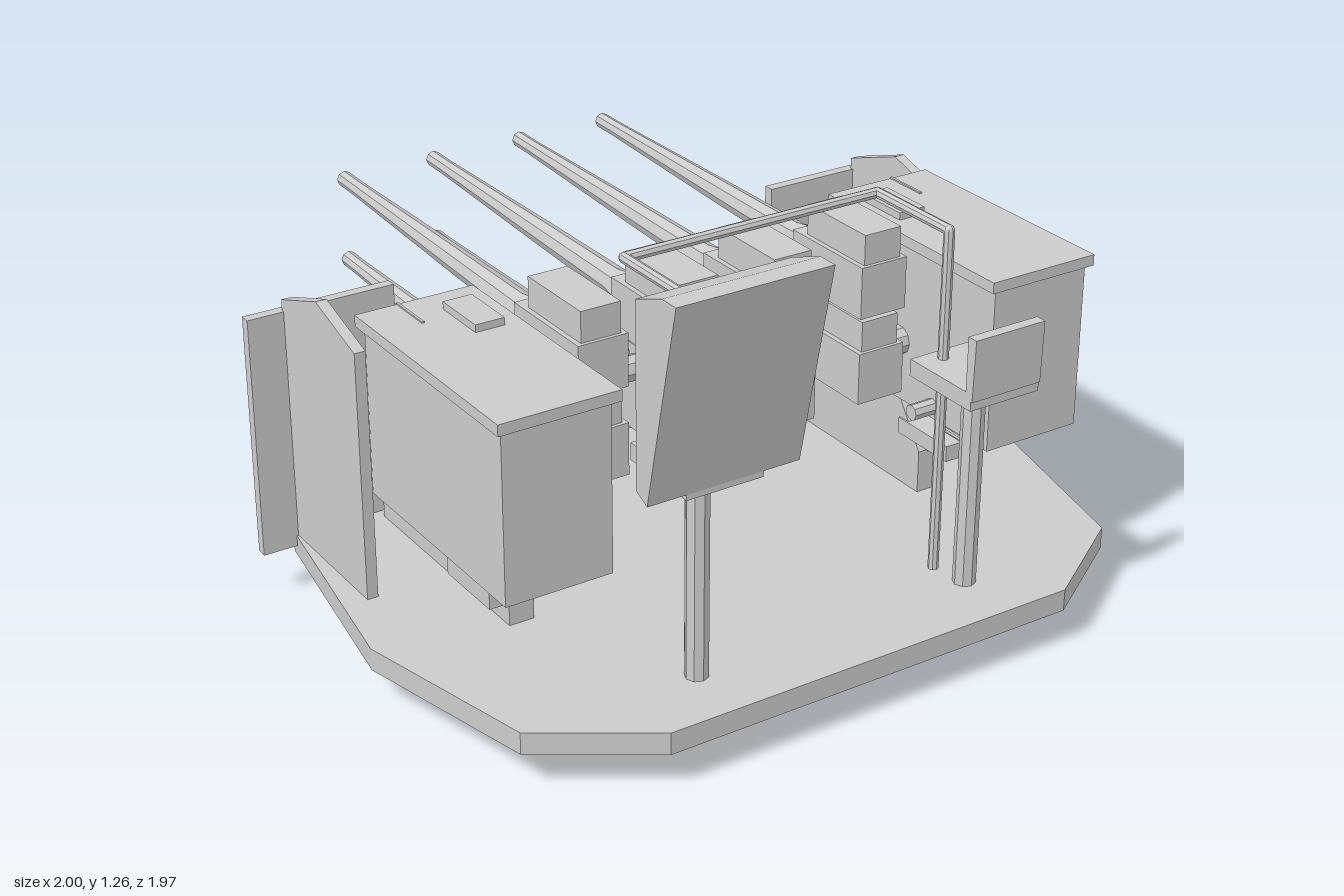
import * as THREE from 'three';

const mat = new THREE.MeshStandardMaterial({ color: 0xcccccc, flatShading: true, side: THREE.DoubleSide });

export function createModel() {
  const root = new THREE.Group();
  root.name = 'gunMount';

  const add = (name, geo, parent = root) => {
    const m = new THREE.Mesh(geo, mat);
    m.name = name;
    parent.add(m);
    return m;
  };
  // box given by its lower and upper limits on each axis
  const box = (name, [x0, x1], [y0, y1], [z0, z1], parent) => {
    const m = add(name, new THREE.BoxGeometry(x1 - x0, y1 - y0, z1 - z0), parent);
    m.position.set((x0 + x1) / 2, (y0 + y1) / 2, (z0 + z1) / 2);
    return m;
  };
  // upright slab: outline of [z, y] points, thickened from x0 to x1
  const slab = (name, pts, x0, x1, parent) => {
    const shape = new THREE.Shape(pts.map(([z, y]) => new THREE.Vector2(-z, y)));
    const geo = new THREE.ExtrudeGeometry(shape, { depth: x1 - x0, bevelEnabled: false });
    geo.rotateY(Math.PI / 2).translate(x0, 0, 0);
    return add(name, geo, parent);
  };
  // cylinder lying along x
  const barX = (name, x0, x1, y, z, r, sides, parent) => {
    const geo = new THREE.CylinderGeometry(r, r, x1 - x0, sides).rotateZ(Math.PI / 2);
    add(name, geo, parent).position.set((x0 + x1) / 2, y, z);
  };
  // bent pipe made of straight runs
  const pipe = (name, pts, r, parent) => {
    const path = new THREE.CurvePath();
    const v = pts.map(p => new THREE.Vector3(...p));
    for (let i = 1; i < v.length; i++) {
      const g = new THREE.TubeGeometry(new THREE.LineCurve3(v[i - 1], v[i]), 1, r, 8);
      add(name, g, parent);
      if (i < v.length - 1) add(name + 'Elbow', new THREE.SphereGeometry(r, 8, 6), parent).position.copy(v[i]);
    }
  };

  // deck plate
  const half = [[0.57, -0.57], [0.9, -0.4], [1, 0.23], [0.88, 0.74], [0.59, 0.93]];
  const outline = [...half, ...half.map(([x, z]) => [-x, z]).reverse()];
  const deck = new THREE.Shape(outline.map(([x, z]) => new THREE.Vector2(x, -z)));
  add('deckPlate', new THREE.ExtrudeGeometry(deck, { depth: 0.06, bevelEnabled: false })
    .rotateX(-Math.PI / 2).translate(0, 0.1, 0));

  // turning ring under the deck
  const ringPts = [[0.215, 0], [0.47, 0], [0.47, 0.1], [0.215, 0.1], [0.215, 0]];
  add('turningRing', new THREE.LatheGeometry(ringPts.map(p => new THREE.Vector2(...p)), 12))
    .position.z = 0.105;

  // eight guns in two rows of four
  const barrel = [[0, 0], [0.048, 0], [0.048, 0.06], [0.04, 0.1], [0.034, 0.45], [0.022, 0.99],
    [0.022, 1.07], [0.012, 1.07], [0.012, 1.03], [0, 1.03]].map(p => new THREE.Vector2(...p));
  for (const y of [0.51, 0.75]) {
    for (let i = 0; i < 4; i++) {
      const x = -0.417 + i * 0.278;
      const gun = new THREE.Group();
      gun.name = 'gun';
      root.add(gun);
      box('receiver', [x - 0.07, x + 0.07], [y, y + 0.142], [0.07, 0.37], gun);
      box('feedBlock', [x - 0.056, x + 0.056], [y + 0.142, y + 0.225], [0.115, 0.36], gun);
      const b = add('barrel', new THREE.LatheGeometry(barrel, 8), gun);
      b.rotation.x = -Math.PI / 2 + 0.02;
      b.position.set(x, y + 0.075, 0.085);
    }
  }

  // cradle bars that carry the guns
  barX('cradleBar', -0.58, 0.58, 0.7, 0.09, 0.045, 8);
  barX('cradleBar', -0.58, 0.58, 0.68, 0.165, 0.035, 8);
  box('frontBeam', [-0.6, 0.6], [0.26, 0.35], [-0.33, -0.25]);

  // parts repeated on both sides
  for (const s of [1, -1]) {
    const side = new THREE.Group();
    side.name = s > 0 ? 'leftSide' : 'rightSide';
    root.add(side);
    const bx = (name, x, y, z) => box(name, s > 0 ? x : [-x[1], -x[0]], y, z, side);
    const sl = (name, pts, a, b) => slab(name, pts, s > 0 ? a : -b, s > 0 ? b : -a, side);
    const bar = (name, a, b, ...rest) => barX(name, s > 0 ? a : -b, s > 0 ? b : -a, ...rest, side);

    // shields
    bx('frontShield', [0.59, 1], [0.13, 0.8], [-0.4, -0.37]);
    sl('sideShield', [[0.02, 0.16], [0.02, 0.84], [-0.18, 0.9], [-0.38, 0.83], [-0.38, 0.16]], 0.87, 0.9);

    // ammunition box with lid
    bx('ammunitionBox', [0.56, 0.85], [0.43, 0.885], [-0.02, 0.635]);
    bx('boxLid', [0.54, 0.865], [0.88, 0.91], [-0.04, 0.65]);
    bx('lidHatch', [0.59, 0.67], [0.9, 0.93], [0.045, 0.205]);
    bx('lidRidge', [0.745, 0.752], [0.9, 0.914], [-0.04, 0.09]);

    // cheek bearing the cradle
    sl('cheek', [[0.32, 0.16], [0.32, 0.28], [0.2, 0.45], [-0.03, 0.45], [-0.17, 0.36],
      [-0.34, 0.35], [-0.34, 0.16]], 0.595, 0.665);
    bx('pedalArm', [0.62, 0.71], [0.28, 0.3], [0.02, 0.335]);
    bx('footrest', [0.59, 0.785], [0.305, 0.35], [0.235, 0.44]);

    // elevating gear
    bar('gearShaft', 0.49, 0.57, 0.465, 0.41, 0.022, 8);
    bar('gearDrum', 0.49, 0.57, 0.6, 0.265, 0.04, 10);
    pipe('handle', [[0.63, 0.43, 0.51], [0.63, 0.39, 0.49], [0.63, 0.365, 0.45],
      [0.63, 0.365, 0.38], [0.63, 0.4, 0.35]].map(([x, y, z]) => [s * x, y, z]), 0.007, side);

    // seat on its post
    const post = add('seatPost', new THREE.CylinderGeometry(0.03, 0.03, 0.57, 8), side);
    post.position.set(s * 0.405, 0.435, 0.757);
    bx('seat', [0.3, 0.51], [0.715, 0.76], [0.635, 0.87]);
  }

  // backrest of the left seat, padded shield behind the right seat
  slab('backrest', [[0.85, 0.74], [0.85, 0.905], [0.88, 0.905], [0.875, 0.74]], 0.3, 0.51);
  slab('seatShield', [[0.87, 0.73], [0.985, 1.26], [0.93, 1.26], [0.825, 1.22], [0.825, 0.75]], -0.615, -0.2);

  // bent hand rail
  pipe('handRail', [[-0.37, 0.17, 0.675], [-0.37, 1.1, 0.675], [-0.37, 1.1, 0.39],
    [0.37, 1.1, 0.39], [0.37, 1.1, 0.675], [0.37, 0.17, 0.675]], 0.014);

  return root;
}
